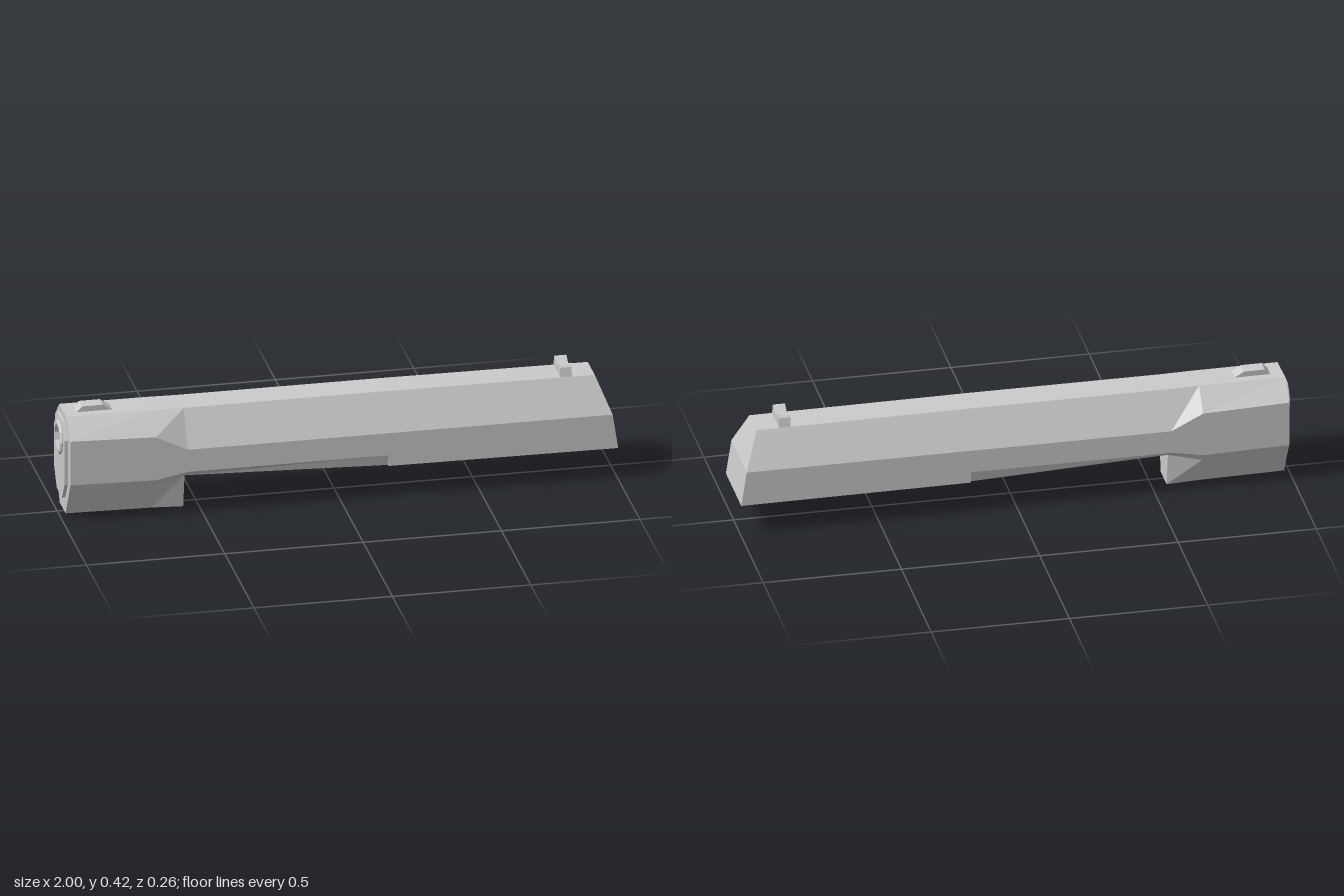
import * as THREE from 'three';

const grey = new THREE.MeshStandardMaterial({ color: 0xcccccc, flatShading: true });
const greyDouble = new THREE.MeshStandardMaterial({ color: 0xcccccc, flatShading: true, side: THREE.DoubleSide });

function addMesh(group, name, geometry, material = grey) {
  const mesh = new THREE.Mesh(geometry, material);
  mesh.name = name;
  group.add(mesh);
  return mesh;
}

// Half sections are [x, z, y] points from bottom to top, mirrored in z and skinned along x.
function loftMirrored(sections) {
  const pos = [];
  const tri = (...pts) => pts.forEach((p) => pos.push(...p));
  const quad = (a, b, c, d) => { tri(a, b, c); tri(a, c, d); };
  const left = (p) => [p[0], p[2], p[1]];
  const right = (p) => [p[0], p[2], -p[1]];
  const rings = sections.map((s) => [...s.map(left), ...s.map(right).reverse()]);
  for (let k = 0; k < rings.length - 1; k++) {
    const a = rings[k], b = rings[k + 1];
    for (let i = 0; i < a.length; i++) {
      const j = (i + 1) % a.length;
      quad(a[i], b[i], b[j], a[j]);
    }
  }
  // rear end, closed by strips between mirrored points
  const end = sections[sections.length - 1];
  for (let i = 0; i < end.length - 1; i++) {
    quad(left(end[i]), right(end[i]), right(end[i + 1]), left(end[i + 1]));
  }
  const g = new THREE.BufferGeometry();
  g.setAttribute('position', new THREE.Float32BufferAttribute(pos, 3));
  g.computeVertexNormals();
  return g;
}

// Shape in the z/y plane from the +z half of its outline, bottom to top.
function mirroredShape(half) {
  const mirror = half.map(([z, y]) => [-z, y]).reverse();
  return new THREE.Shape([...half, ...mirror].map(([z, y]) => new THREE.Vector2(z, y)));
}

const at = (x, pts) => pts.map(([z, y]) => [x, z, y]);

export function createModel() {
  const group = new THREE.Group();
  const boreY = 0.285, boreSides = 10;

  // Main body: deep front block, tapering undercut, plain rear and sloped back
  const front = [[0.05, 0.01], [0.113, 0.12], [0.13, 0.15], [0.13, 0.318], [0.06, 0.385]];
  const upper = [[0.13, 0.165], [0.13, 0.25], [0.06, 0.382]];
  addMesh(group, 'slideBody', loftMirrored([
    at(-0.98, front),
    at(-0.67, [[0.05, 0.005], [0.112, 0.115], [0.13, 0.143], [0.13, 0.308], [0.06, 0.384]]),
    at(-0.555, [[0.05, 0], [0.072, 0.128], ...upper]),
    at(-0.555, [[0.05, 0.128], [0.072, 0.128], ...upper]),
    at(0.17, [[0.05, 0.124], [0.12, 0.124], ...upper]),
    at(0.17, [[0.05, 0.124], [0.13, 0.124], ...upper]),
    [[1, 0.05, 0.12], [1, 0.13, 0.12], [0.993, 0.13, 0.165], [0.98, 0.13, 0.25], [0.93, 0.06, 0.378]],
  ]));

  // Front face and raised plate, both pierced by the bore
  const boreHole = () => new THREE.Path().absarc(0, boreY, 0.058, 0, Math.PI * 2, true);
  const face = mirroredShape(front);
  face.holes.push(boreHole());
  const faceGeometry = new THREE.ShapeGeometry(face, boreSides);
  faceGeometry.rotateY(-Math.PI / 2);
  addMesh(group, 'frontFace', faceGeometry).position.x = -0.98;

  const plate = mirroredShape([[0.045, 0.07], [0.088, 0.135], [0.088, 0.305], [0.045, 0.36]]);
  plate.holes.push(boreHole());
  const plateGeometry = new THREE.ExtrudeGeometry(plate, { depth: 0.012, bevelEnabled: false, curveSegments: boreSides });
  plateGeometry.rotateY(-Math.PI / 2);
  addMesh(group, 'frontPlate', plateGeometry).position.x = -0.98;

  // Barrel tube with a closed inner end
  const tube = [[0.063, 0.7], [0.063, 0.995], [0.058, 1], [0.047, 1], [0.047, 0.7], [0, 0.7]];
  const barrel = new THREE.LatheGeometry(tube.map(([r, y]) => new THREE.Vector2(r, y)), boreSides);
  barrel.rotateZ(Math.PI / 2);
  addMesh(group, 'barrel', barrel, greyDouble).position.y = boreY;

  // Front sight: low ramp
  const ramp = new THREE.Shape([[-0.94, 0.38], [-0.915, 0.405], [-0.84, 0.405], [-0.8, 0.38]]
    .map(([x, y]) => new THREE.Vector2(x, y)));
  addMesh(group, 'frontSight', new THREE.ExtrudeGeometry(ramp, { depth: 0.052, bevelEnabled: false }))
    .position.z = -0.026;

  // Rear sight: notched blade across the top
  const blade = mirroredShape([[0.06, 0.375], [0.051, 0.412], [0.043, 0.42], [0.031, 0.42], [0.003, 0.399]]);
  const bladeGeometry = new THREE.ExtrudeGeometry(blade, { depth: 0.042, bevelEnabled: false });
  bladeGeometry.rotateY(-Math.PI / 2);
  addMesh(group, 'rearSight', bladeGeometry).position.x = 0.848;

  return group;
}
